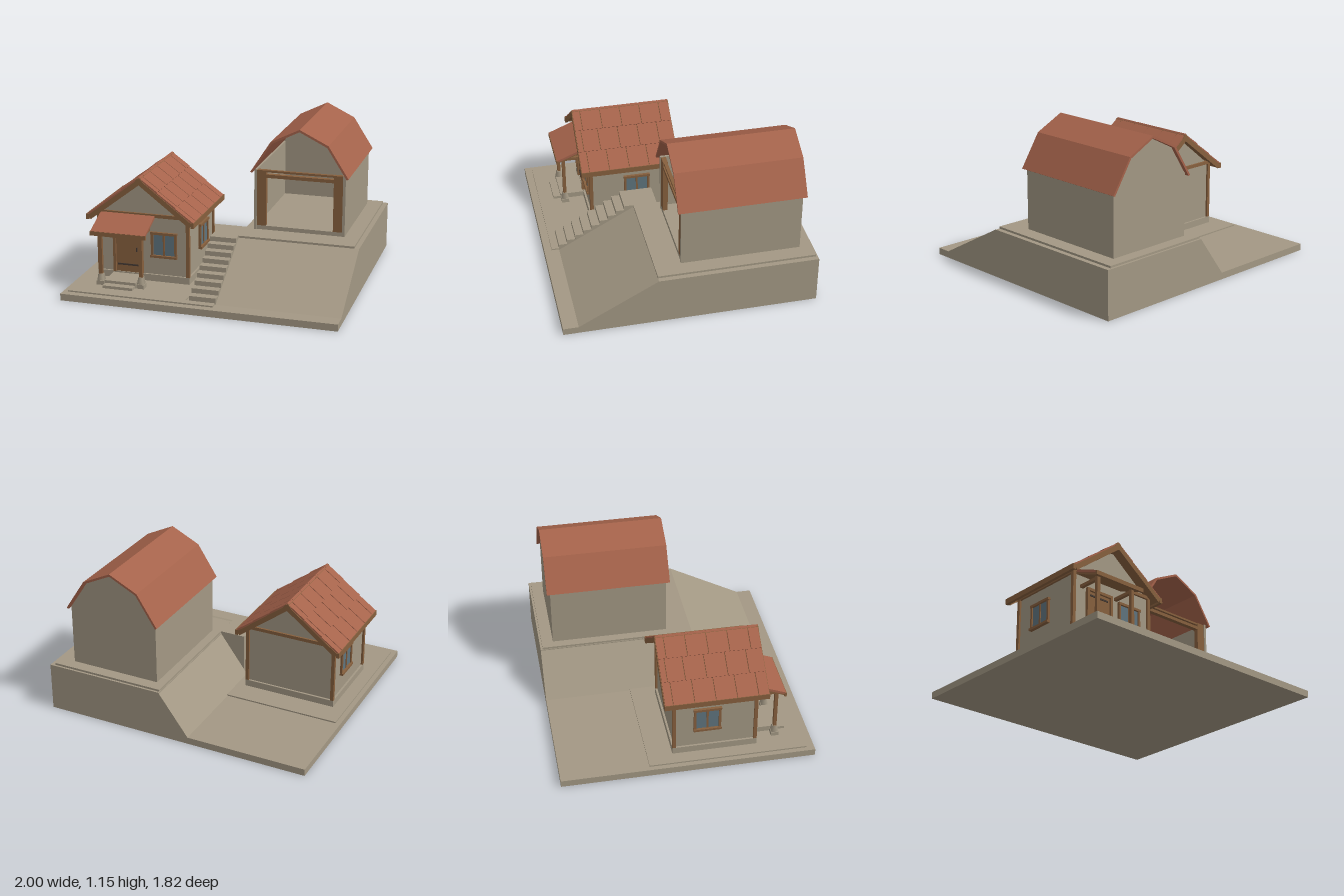
import * as THREE from 'three';

const mat = (name, color, extra = {}) => {
  const m = new THREE.MeshStandardMaterial({ color, ...extra });
  m.name = name;
  return m;
};

export function createModel() {
  const stone = mat('stone', 0xa39884);
  const wood = mat('wood', 0x87603e);
  const tile = mat('roof tile', 0xa5634b);
  const glass = mat('glass', 0x5f747e);
  const iron = mat('iron', 0x453a33);

  const model = new THREE.Group();
  model.name = 'hillsideHouseAndBarn';

  const add = (name, geo, m, parent = model) => {
    const mesh = new THREE.Mesh(geo, m);
    mesh.name = name;
    parent.add(mesh);
    return mesh;
  };
  // Box from its limits on each axis
  const box = (name, m, x0, x1, y0, y1, z0, z1, parent = model) => {
    const geo = new THREE.BoxGeometry(x1 - x0, y1 - y0, z1 - z0);
    geo.translate((x0 + x1) / 2, (y0 + y1) / 2, (z0 + z1) / 2);
    return add(name, geo, m, parent);
  };
  const extrude = (pts, depth) => new THREE.ExtrudeGeometry(
    new THREE.Shape(pts.map(p => new THREE.Vector2(p[0], p[1]))), { depth, bevelEnabled: false });
  // Profile of (x, y) points swept along z
  const alongZ = (name, m, pts, z0, z1) => add(name, extrude(pts, z1 - z0).translate(0, 0, z0), m);
  // Profile of (z, y) points swept along x
  const alongX = (name, m, pts, x0, x1) =>
    add(name, extrude(pts, x1 - x0).rotateY(-Math.PI / 2).translate(x1, 0, 0), m);

  // Ground, terrace with front ramp, and side bank
  box('ground', stone, -1, 1, 0, 0.05, -0.91, 0.91);
  alongX('terrace', stone, [[-0.91, 0.05], [0.8, 0.05], [0.235, 0.355], [-0.91, 0.355]], 0.11, 1);
  alongZ('sideBank', stone, [[-0.11, 0.05], [0.115, 0.05], [0.115, 0.355]], -0.91, 0.06);
  box('terracePaving', stone, 0.115, 0.965, 0.355, 0.37, -0.895, 0.235);
  box('yardPaving', stone, -0.965, -0.105, 0.05, 0.06, -0.28, 0.855);
  box('yardPavingFront', stone, -0.105, 0.11, 0.05, 0.06, 0.8, 0.855);

  // Stair with nine risers and a landing
  const steps = [[0.06, 0.05], [0.8, 0.05]];
  for (let i = 0; i < 9; i++) {
    const z = 0.8 - i * 0.062, y = 0.06 + (i + 1) * 0.0344;
    steps.push([z, y], [i < 8 ? z - 0.062 : 0.06, y]);
  }
  alongX('stair', stone, steps, -0.08, 0.115);

  // House body
  const cx = -0.52, cz = 0.205;
  box('houseFoundation', stone, -0.87, -0.17, 0.06, 0.11, -0.1, 0.51);
  alongZ('houseWalls', stone,
    [[-0.855, 0.11], [-0.185, 0.11], [-0.185, 0.54], [cx, 0.805], [-0.855, 0.54]], -0.085, 0.495);
  for (const x of [-0.87, -0.195]) {
    for (const z of [-0.1, 0.485]) box('cornerPost', wood, x, x + 0.025, 0.11, 0.54, z, z + 0.025);
    box('wallPlate', wood, x, x + 0.025, 0.525, 0.55, -0.1, 0.51);
  }
  for (const z of [-0.1, 0.485]) box('gableBeam', wood, -0.87, -0.17, 0.54, 0.565, z, z + 0.025);

  // House roof: each slope has a deck, bargeboards and staggered tiles
  const pitch = Math.atan(0.765);
  for (const s of [0, 1]) {
    const side = new THREE.Group();
    side.name = s ? 'leftRoofSide' : 'rightRoofSide';
    side.position.set(cx, 0.855, cz);
    side.rotation.y = s * Math.PI;
    model.add(side);
    const slope = new THREE.Group();
    slope.name = 'roofSlope';
    slope.rotation.z = -pitch;
    side.add(slope);
    box('roofDeck', wood, 0, 0.505, -0.038, -0.018, -0.362, 0.362, slope);
    for (const z of [-0.37, 0.355])
      box('bargeboard', wood, 0, 0.505, -0.05, -0.014, z, z + 0.015, slope);
    for (let r = 0; r < 3; r++) {
      const x0 = r * 0.169, shift = r % 2 ? 0.04 : 0;
      const cuts = [-0.368, -0.29 + shift, -0.14 + shift, 0.01 + shift, 0.16 + shift, 0.31 + shift * 0.4, 0.368];
      for (let i = 0; i < cuts.length - 1; i++) {
        const t = box('roofTile', tile, 0, 0.172, -0.014, 0, cuts[i] + 0.003, cuts[i + 1] - 0.003, slope);
        t.position.set(x0, -0.006, 0);
        t.rotation.z = 0.03;
      }
    }
    box('eaveBoard', wood, 0.384, 0.406, -0.348, -0.308, -0.37, 0.37, side);
  }
  box('ridgeBeam', wood, cx - 0.014, cx + 0.014, 0.79, 0.83, cz - 0.368, cz + 0.368);

  // Windows, drawn facing +z around the origin
  const addWindow = (x, y, z, turn) => {
    const g = new THREE.Group();
    g.name = 'window';
    g.position.set(x, y, z);
    g.rotation.y = turn;
    model.add(g);
    box('windowPane', glass, -0.085, 0.085, -0.085, 0.085, 0, 0.006, g);
    for (const sx of [-0.097, 0.08]) box('windowJamb', wood, sx, sx + 0.017, -0.09, 0.085, 0, 0.016, g);
    box('windowMullion', wood, -0.007, 0.007, -0.085, 0.085, 0, 0.012, g);
    box('windowLintel', wood, -0.1, 0.1, 0.075, 0.093, 0, 0.02, g);
    box('windowSill', wood, -0.1, 0.1, -0.097, -0.08, 0, 0.025, g);
  };
  addWindow(-0.363, 0.34, 0.495, 0);
  addWindow(-0.185, 0.34, 0.15, Math.PI / 2);
  addWindow(-0.855, 0.34, 0.15, -Math.PI / 2);

  // Front door
  box('door', wood, -0.728, -0.544, 0.11, 0.43, 0.49, 0.503);
  for (const x of [-0.748, -0.542]) box('doorJamb', wood, x, x + 0.02, 0.11, 0.45, 0.49, 0.518);
  box('doorLintel', wood, -0.748, -0.522, 0.43, 0.45, 0.49, 0.518);
  for (const y of [0.16, 0.395]) box('doorHinge', iron, -0.715, -0.56, y, y + 0.012, 0.503, 0.508);
  box('doorHandle', iron, -0.573, -0.566, 0.27, 0.3, 0.503, 0.512);

  // Porch
  box('porchFloor', stone, -0.75, -0.515, 0.06, 0.1, 0.5, 0.69);
  box('porchStep', stone, -0.745, -0.52, 0.06, 0.08, 0.69, 0.745);
  for (const x of [-0.785, -0.482]) {
    const base = add('porchPostBase', new THREE.CylinderGeometry(0.024, 0.034, 0.05, 4, 1)
      .rotateY(Math.PI / 4).translate(x, 0.115, 0.66), stone);
    base.material = stone;
    box('porchPostPlinth', stone, x - 0.028, x + 0.028, 0.06, 0.09, 0.632, 0.688);
    box('porchPost', wood, x - 0.013, x + 0.013, 0.13, 0.465, 0.648, 0.672);
    box('porchSideBeam', wood, x - 0.012, x + 0.012, 0.435, 0.457, 0.49, 0.67);
  }
  alongX('porchRoof', tile,
    [[0.495, 0.54], [0.715, 0.452], [0.715, 0.47], [0.495, 0.56]], -0.838, -0.428);
  box('porchFrontBeam', wood, -0.842, -0.424, 0.438, 0.468, 0.703, 0.719);
  alongX('porchRoofDeck', wood,
    [[0.495, 0.526], [0.71, 0.44], [0.71, 0.454], [0.495, 0.54]], -0.83, -0.436);

  // Barn, open at the front
  const bx = 0.517;
  const gable = [[bx + 0.335, 0.37], [bx + 0.335, 0.82], [bx + 0.2, 1.027], [bx, 1.128],
    [bx - 0.2, 1.027], [bx - 0.335, 0.82], [bx - 0.335, 0.37]];
  alongZ('barnBackWall', stone, gable, -0.81, -0.79);
  for (const x of [bx - 0.338, bx + 0.318]) box('barnSideWall', stone, x, x + 0.02, 0.37, 0.825, -0.81, 0.05);
  box('barnFloor', stone, bx - 0.32, bx + 0.32, 0.37, 0.4, -0.79, 0.045);
  for (const x of [bx - 0.32, bx + 0.25]) box('barnDoorPost', wood, x, x + 0.07, 0.4, 0.82, 0.01, 0.045);
  box('barnDoorBeam', wood, bx - 0.25, bx + 0.25, 0.765, 0.79, 0.01, 0.045);
  box('barnTieBeam', wood, bx - 0.32, bx + 0.32, 0.805, 0.82, 0.015, 0.04);

  // Folded barn roof as a thin band
  const outer = [[-0.362, 0.81], [-0.212, 1.043], [0, 1.147], [0.212, 1.043], [0.362, 0.81]];
  const inner = [[0.348, 0.803], [0.202, 1.03], [0, 1.13], [-0.202, 1.03], [-0.348, 0.803]];
  alongZ('barnRoof', tile, [...outer, ...inner].map(([x, y]) => [x + bx, y]), -0.835, 0.075);

  return model;
}
